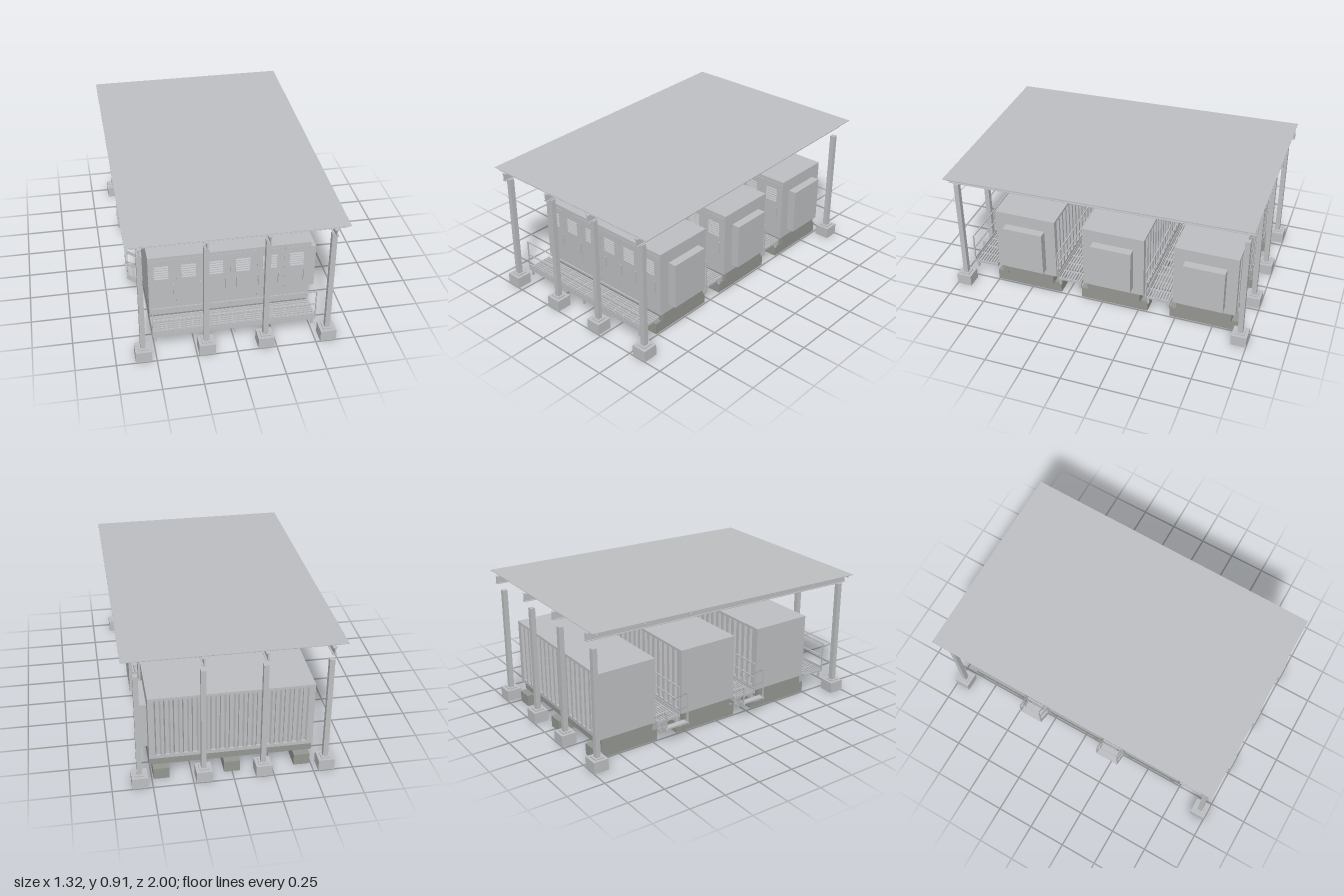
import * as THREE from 'three';

const light = new THREE.MeshStandardMaterial({ color: 0xbfc0c3 });
light.name = 'light grey steel';
const dark = new THREE.MeshStandardMaterial({ color: 0x969893 });
dark.name = 'grey concrete';

// Axis-aligned box given by its limits
function box(parent, name, [x0, x1], [y0, y1], [z0, z1], mat = light) {
  const m = new THREE.Mesh(new THREE.BoxGeometry(x1 - x0, y1 - y0, z1 - z0), mat);
  m.position.set((x0 + x1) / 2, (y0 + y1) / 2, (z0 + z1) / 2);
  m.name = name;
  parent.add(m);
  return m;
}

// Thin square bar between two points of a plane of constant z
function bar(parent, name, [x0, y0], [x1, y1], z, w = 0.007) {
  const m = new THREE.Mesh(new THREE.BoxGeometry(Math.hypot(x1 - x0, y1 - y0), w, w), light);
  m.position.set((x0 + x1) / 2, (y0 + y1) / 2, z);
  m.rotation.z = Math.atan2(y1 - y0, x1 - x0);
  m.name = name;
  parent.add(m);
  return m;
}

function group(parent, name) {
  const g = new THREE.Group();
  g.name = name;
  parent.add(g);
  return g;
}

const span = (c, half) => [c - half, c + half];

// Container with a corrugated back wall, front doors and an end cooling unit
function container(parent) {
  const g = group(parent, 'container');
  const X = 0.51, Z = 0.207;
  const s = new THREE.Shape();
  s.moveTo(-X, -Z);
  s.lineTo(X, -Z);
  s.lineTo(X, Z);
  const ribs = 17, pitch = 0.96 / ribs;
  for (let i = ribs - 1; i >= 0; i--) {
    const a = -0.48 + i * pitch;
    s.lineTo(a + pitch * 0.85, Z);
    s.lineTo(a + pitch * 0.7, Z - 0.014);
    s.lineTo(a + pitch * 0.3, Z - 0.014);
    s.lineTo(a + pitch * 0.15, Z);
  }
  s.lineTo(-X, Z);
  const geo = new THREE.ExtrudeGeometry(s, { depth: 0.4, bevelEnabled: false });
  geo.rotateX(-Math.PI / 2);
  const walls = new THREE.Mesh(geo, light);
  walls.position.y = 0.16;
  walls.name = 'corrugatedWalls';
  g.add(walls);
  box(g, 'bottomRail', [-X, X], [0.138, 0.16], [-Z, Z]);
  box(g, 'roofRail', [-X, X], [0.56, 0.577], [-Z, Z]);
  box(g, 'coolingUnit', [X, 0.565], [0.185, 0.49], span(0, 0.135));

  // Door leaves with louvres and handles
  for (let i = 0; i < 6; i++) {
    const c = -0.425 + i * 0.17;
    box(g, 'doorLeaf', span(c, 0.081), [0.165, 0.555], [Z, Z + 0.002]);
    for (let r = 0; r < 6; r++) {
      const y = 0.42 + r * 0.017;
      const slat = box(g, 'louvre', span(c - 0.005, 0.045), span(y, 0.005), span(Z + 0.004, 0.002));
      slat.rotation.x = -0.5;
    }
  }
  for (const x of [-0.355, -0.187, -0.025, 0.045, 0.183, 0.308, 0.47])
    box(g, 'doorHandle', span(x, 0.003), [0.295, 0.375], [Z, Z + 0.014]);
  return g;
}

// Steel skid on three concrete foundation beams
function base(parent) {
  const g = group(parent, 'base');
  for (const x of [-0.44, 0, 0.44])
    box(g, 'foundationBeam', span(x, 0.05), [0, 0.075], span(0, 0.23), dark);
  for (const s of [-1, 1])
    box(g, 'skidBeam', [-0.51, 0.51], [0.075, 0.138], span(s * 0.164, 0.018), dark);
  for (const x of [-0.49, -0.22, 0, 0.22, 0.49])
    box(g, 'skidCrossBeam', span(x, 0.018), [0.08, 0.138], span(0, 0.146), dark);
}

// Grated walkway with a guard rail, and optional end steps
function walkway(parent, steps) {
  const g = group(parent, 'walkway');
  const X = 0.51, z0 = 0.222, z1 = 0.39;
  for (const z of [z0 + 0.004, z1 - 0.004])
    box(g, 'deckEdge', [-X, X], [0.116, 0.14], span(z, 0.004));
  for (let i = 1; i < 9; i++)
    box(g, 'gratingBar', [-X, X], [0.126, 0.138], span(z0 + i * (z1 - z0) / 9, 0.004));
  for (let i = 0; i <= 12; i++)
    box(g, 'gratingCrossBar', span(-0.506 + i * 1.012 / 12, 0.004), [0.12, 0.136], [z0, z1]);
  for (const x of [-0.495, 0, 0.495])
    for (const z of steps ? [z0 + 0.015, z1 - 0.015] : [z1 - 0.015])
      box(g, 'deckLeg', span(x, 0.007), [0.075, 0.12], span(z, 0.007));

  const zr = z1 - 0.003;
  box(g, 'kickPlate', [-X, X], [0.138, 0.157], span(zr, 0.002));
  for (const y of [0.235, 0.33]) bar(g, 'guardRail', [-X, y], [X, y], zr);
  for (const x of [-X, X]) bar(g, 'railPost', [x, 0.12], [x, 0.333], zr);

  if (!steps) return;
  for (const z of [z0 + 0.006, zr]) {
    box(g, 'stepStringer', [-0.057, 0.057], [-0.015, 0.015], span(z, 0.003))
      .position.set(-0.555, 0.1, z);
    g.children[g.children.length - 1].rotation.z = -0.6;
  }
  for (const [x, y] of [[-0.585, 0.125], [-0.535, 0.09]])
    box(g, 'stepTread', span(x, 0.02), span(y, 0.004), [z0, z1]);
  bar(g, 'stepPost', [-0.6, 0.125], [-0.6, 0.333], zr);
  bar(g, 'stepPost', [-0.43, 0.12], [-0.43, 0.215], zr);
  bar(g, 'stepRail', [-0.6, 0.33], [-0.43, 0.21], zr);
  bar(g, 'stepRail', [-0.6, 0.235], [-0.46, 0.138], zr);
  bar(g, 'stepPost', [-0.6, 0.125], [-0.6, 0.24], z0 + 0.006);
  bar(g, 'stepRail', [-0.6, 0.235], [-0.46, 0.138], z0 + 0.006);
}

export function createModel() {
  const model = new THREE.Group();
  model.name = 'shelteredContainers';

  // Three units in a row under the canopy
  [0.525, -0.08, -0.69].forEach((z, i) => {
    const unit = group(model, 'unit');
    unit.position.z = z;
    base(unit);
    container(unit).scale.z = 1;
    walkway(unit, i > 0);
  });

  // Columns on concrete footings, and the sloping roof frame
  const columnX = [-0.58, -0.187, 0.183, 0.578];
  const canopy = group(model, 'canopy');
  canopy.position.y = 0.841;
  canopy.rotation.x = 0.025;
  for (const x of columnX) {
    for (const z of [-0.95, 0.95]) {
      box(model, 'footing', span(x, 0.05), [0, 0.075], span(z, 0.05));
      box(model, 'basePlate', span(x, 0.03), [0.075, 0.082], span(z, 0.03));
      box(model, 'column', span(x, 0.016), [0.082, 0.787], span(z, 0.016));
    }
    // I-section rafter
    box(canopy, 'rafterWeb', span(x, 0.004), [-0.021, 0.021], [-1, 1]);
    box(canopy, 'rafterBottomFlange', span(x, 0.013), [-0.025, -0.021], [-1, 1]);
    box(canopy, 'rafterTopFlange', span(x, 0.013), [0.021, 0.025], [-1, 1]);
  }
  // Thin C-section purlins
  for (let i = -3; i <= 3; i++) {
    const z = i * 0.3233;
    box(canopy, 'purlinWeb', [-0.645, 0.645], [0.025, 0.043], span(z, 0.002));
    for (const y of [0.0255, 0.0415])
      box(canopy, 'purlinFlange', [-0.645, 0.645], [y, y + 0.0015], [z - 0.002, z + 0.016]);
  }
  box(canopy, 'roofSheet', [-0.662, 0.662], [0.043, 0.046], [-1, 1]);
  return model;
}
